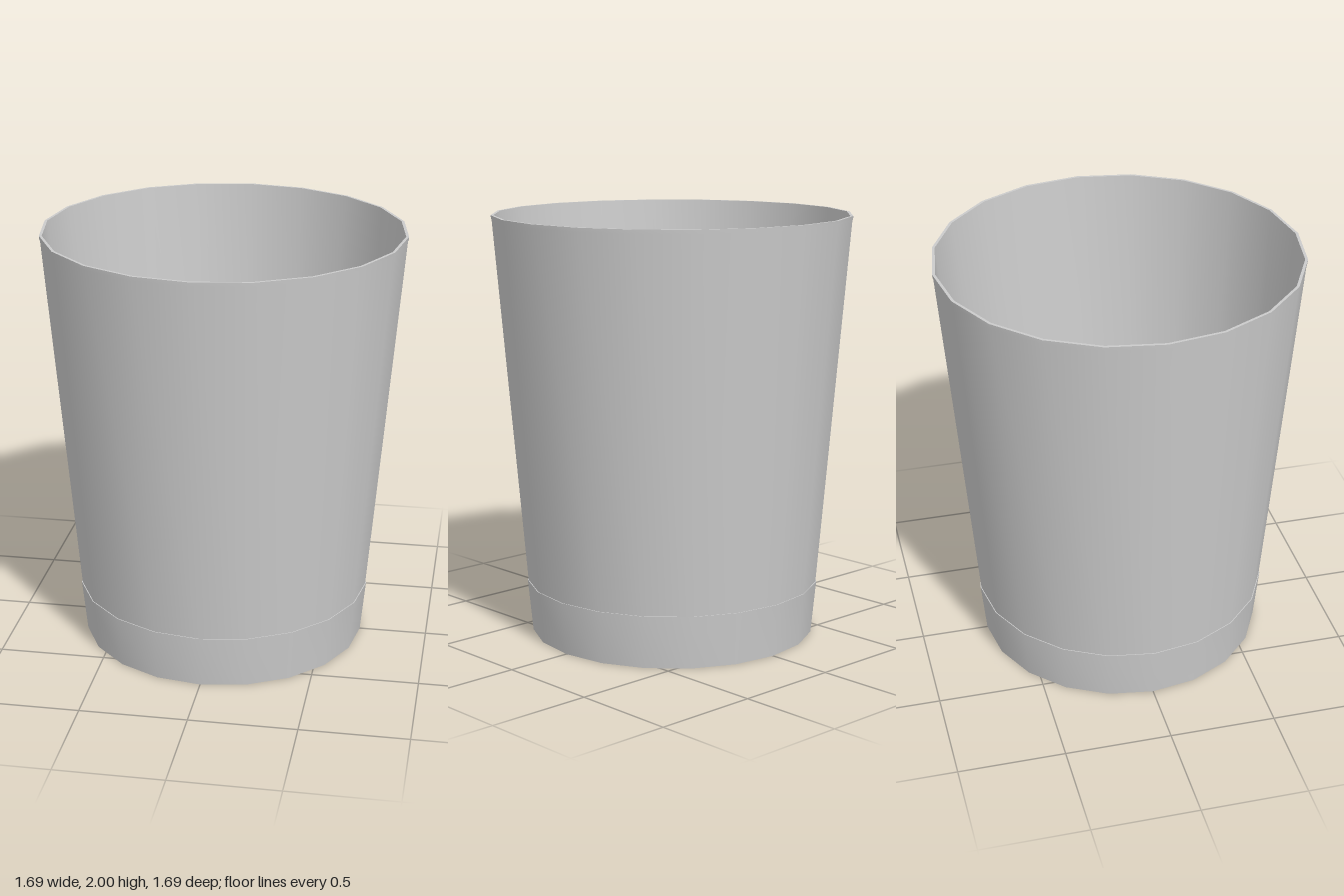
import * as THREE from 'three';
import { toCreasedNormals } from 'three/addons/utils/BufferGeometryUtils.js';

const SIDES = 20;
const material = new THREE.MeshStandardMaterial({ color: 0xcccccc, side: THREE.DoubleSide });

// Revolves a profile of [radius, height] pairs, smooth around and sharp at ledges
function revolve(name, profile) {
  const points = profile.map(([r, y]) => new THREE.Vector2(r, y));
  const geometry = toCreasedNormals(new THREE.LatheGeometry(points, SIDES), Math.PI / 6);
  const mesh = new THREE.Mesh(geometry, material);
  mesh.name = name;
  return mesh;
}

export function createModel() {
  const cup = new THREE.Group();
  cup.name = 'cup';

  // Base: underside, slightly proud outer band, inner ledge and floor
  cup.add(revolve('base', [
    [0, 0], [0.677, 0], [0.701, 0.25], [0.697, 0.25],
  ]));
  cup.add(revolve('innerBase', [
    [0.69, 0.25], [0.685, 0.25], [0.65, 0.03], [0, 0.03],
  ]));

  // Flared wall with a thin lip at the rim
  cup.add(revolve('wall', [
    [0.697, 0.25], [0.842, 1.982], [0.8445, 1.982], [0.846, 2],
    [0.833, 2], [0.69, 0.25],
  ]));

  return cup;
}
